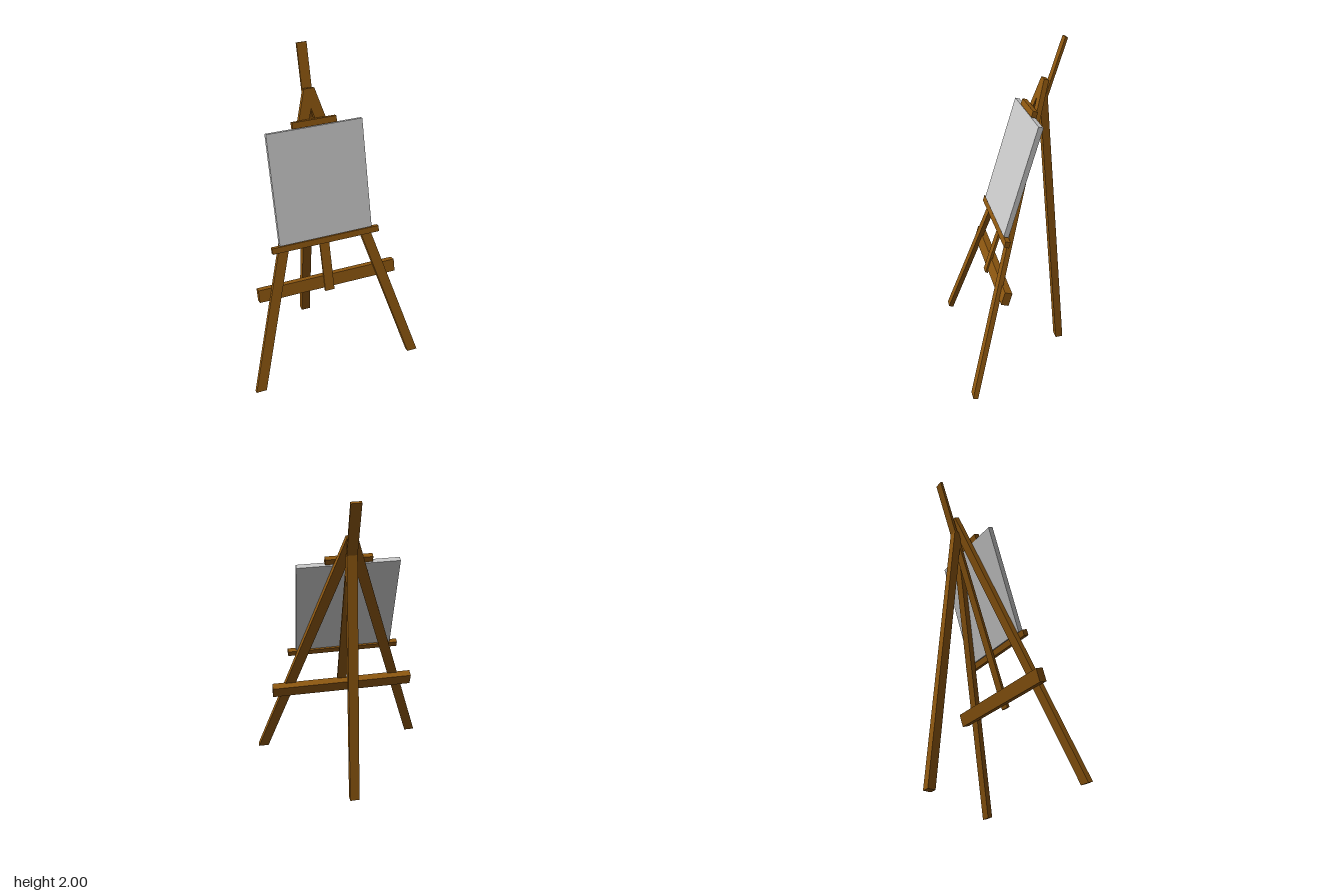
import * as THREE from 'three';

const wood = new THREE.MeshStandardMaterial({ color: 0x8f5810 });
const grey = new THREE.MeshStandardMaterial({ color: 0xcccccc });

function box(name, w, h, d, x, y, z, material = wood) {
  const mesh = new THREE.Mesh(new THREE.BoxGeometry(w, h, d), material);
  mesh.name = name;
  mesh.position.set(x, y, z);
  return mesh;
}

// Straight bar running in the y-z plane between two end centres
function bar(name, w, d, [y0, z0], [y1, z1]) {
  const length = Math.hypot(y1 - y0, z1 - z0);
  const mesh = box(name, w, length, d, 0, (y0 + y1) / 2, (z0 + z1) / 2);
  mesh.rotation.x = Math.atan2(z1 - z0, y1 - y0);
  return mesh;
}

export function createModel() {
  const easel = new THREE.Group();
  easel.name = 'easel';

  // Everything that leans with the front legs; local y runs up the slope
  const front = new THREE.Group();
  front.name = 'leaningFrame';
  front.position.set(0, 0.0044, 0.332);
  front.rotation.x = THREE.MathUtils.degToRad(-16.88);
  easel.add(front);

  // Front leg pair meeting at the top
  const outline = [
    [0.558, 0], [0.032, 1.836], [-0.032, 1.836], [-0.558, 0],
    [-0.492, 0], [0, 1.72], [0.492, 0],
  ].map(([x, y]) => new THREE.Vector2(x, y));
  const thickness = 0.03;
  const legGeometry = new THREE.ExtrudeGeometry(new THREE.Shape(outline), {
    depth: thickness, bevelEnabled: false,
  });
  legGeometry.translate(0, 0, -thickness / 2);
  const legs = new THREE.Mesh(legGeometry, wood);
  legs.name = 'frontLegs';
  front.add(legs);

  // Rails and the board they hold
  front.add(
    box('crossbar', 0.904, 0.08, 0.045, 0, 0.627, -0.03),
    box('shelf', 0.69, 0.037, 0.03, 0, 0.916, 0.03),
    box('topClamp', 0.272, 0.037, 0.03, 0, 1.644, 0.039),
    box('canvas', 0.594, 0.68, 0.03, 0, 1.281, 0.035, grey),
  );

  // Centre mast and rear leg
  easel.add(
    bar('mast', 0.06, 0.016, [0.545, 0.163], [1.997, -0.314]),
    bar('rearLeg', 0.06, 0.046, [0.002, -0.322], [1.655, -0.188]),
  );
  return easel;
}
